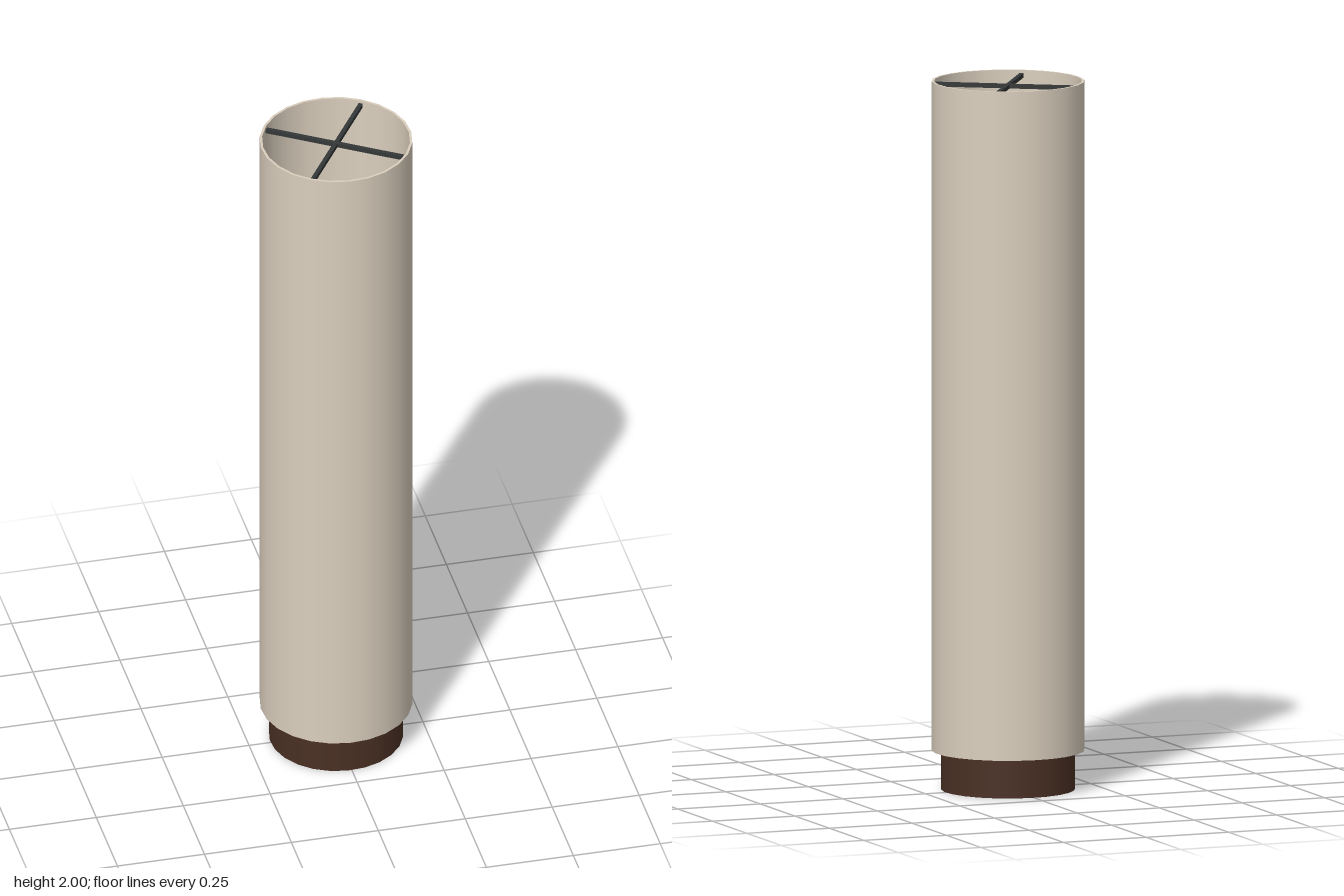
import * as THREE from 'three';

const SIDES = 24;

export function createModel() {
  const model = new THREE.Group();
  model.name = 'floorLamp';

  const make = (name, color) => {
    const m = new THREE.MeshStandardMaterial({ color, side: THREE.DoubleSide });
    m.name = name;
    return m;
  };
  const linen = make('linen', 0xdbcfbe);
  const wood = make('darkWood', 0x4a3024);
  const metal = make('darkMetal', 0x353838);

  const add = (parent, name, geometry, material, y = 0) => {
    const mesh = new THREE.Mesh(geometry, material);
    mesh.name = name;
    mesh.position.y = y;
    parent.add(mesh);
    return mesh;
  };

  // Revolve one straight profile edge, so neighbouring edges stay sharp
  const band = (r0, y0, r1, y1) =>
    new THREE.LatheGeometry([new THREE.Vector2(r0, y0), new THREE.Vector2(r1, y1)], SIDES);

  // Tall thin-walled shade, open at both ends
  const shade = new THREE.Group();
  shade.name = 'shade';
  const rOut = 0.214, rIn = 0.207, low = 0.11, high = 2;
  add(shade, 'shadeOuterWall', band(rOut, low, rOut, high), linen);
  add(shade, 'shadeTopRim', band(rOut, high, rIn, high), linen);
  add(shade, 'shadeInnerWall', band(rIn, high, rIn, low), linen);
  add(shade, 'shadeBottomRim', band(rIn, low, rOut, low), linen);
  model.add(shade);

  // Hollow base, open underneath
  const base = new THREE.Group();
  base.name = 'base';
  add(base, 'baseWall', band(0.188, 0, 0.188, 0.112), wood);
  add(base, 'baseTop', band(0.188, 0.112, 0, 0.112), wood);
  model.add(base);

  // Round bulb resting on the base
  add(model, 'bulb', new THREE.SphereGeometry(0.087, SIDES, 16), linen, 0.199);

  // Crossed bars holding the shade at both ends
  for (const [label, y] of [['top', 1.985], ['bottom', 0.118]]) {
    for (let i = 0; i < 2; i++) {
      const bar = add(model, label + 'CrossBar', new THREE.BoxGeometry(0.418, 0.012, 0.012), metal, y);
      bar.rotation.y = i * Math.PI / 2;
    }
  }

  // The lamp stands slightly turned
  model.rotation.y = -0.58;
  const root = new THREE.Group();
  root.name = 'lamp';
  root.add(model);
  return root;
}
